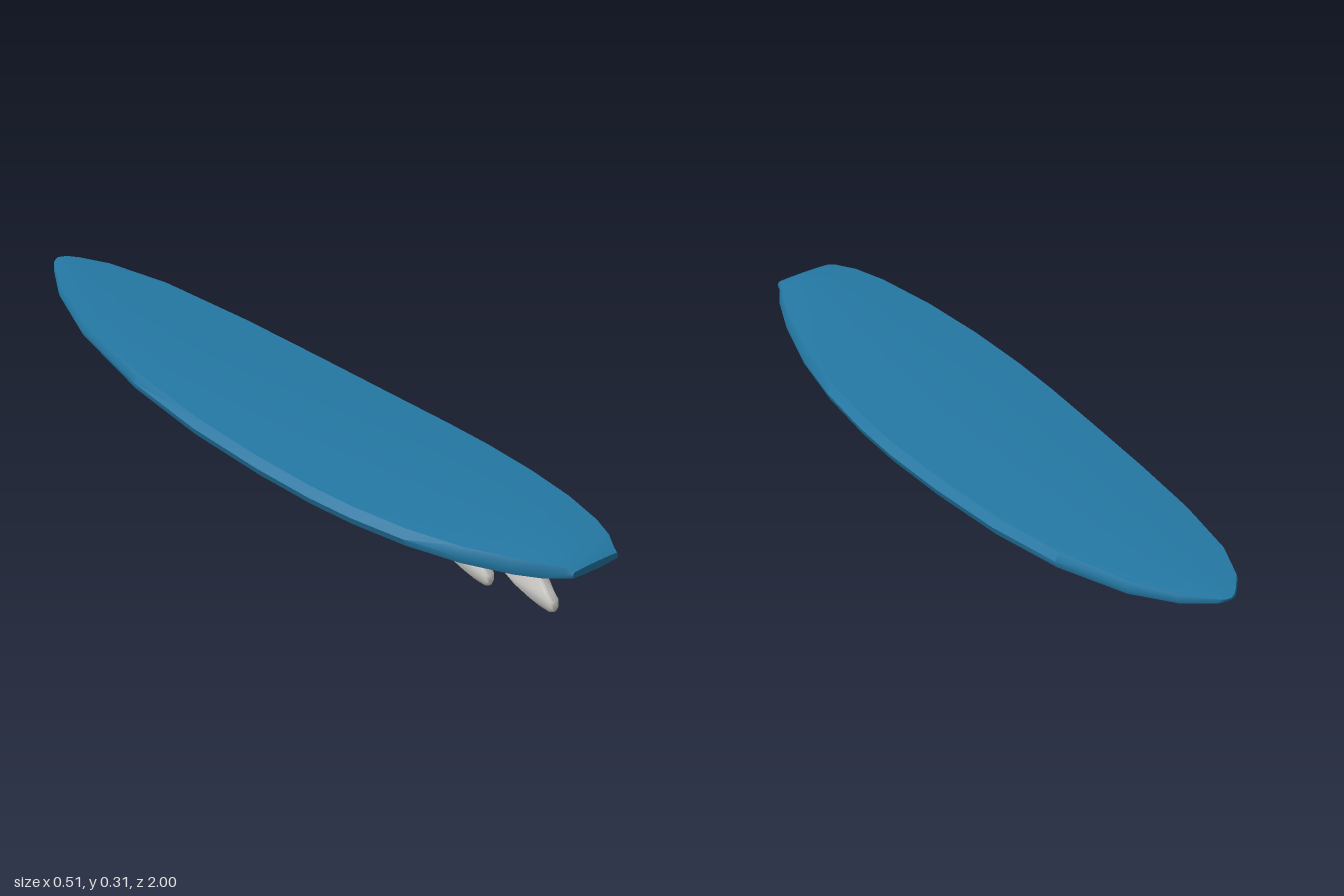
import * as THREE from 'three';
import { toCreasedNormals } from 'three/addons/utils/BufferGeometryUtils.js';

// Skin a list of closed rings (equal point counts) and cap both ends.
function loft(rings, crease) {
  const n = rings[0].length;
  const pos = rings.flat();
  const idx = [];
  for (let i = 0; i < rings.length - 1; i++) {
    for (let j = 0; j < n; j++) {
      const a = i * n + j, b = i * n + (j + 1) % n;
      idx.push(a, b, a + n, b, b + n, a + n);
    }
  }
  const cap = (start, flip) => {
    const c = pos.length;
    const mid = [0, 1, 2].map(k => {
      let sum = 0;
      for (let j = 0; j < n; j++) sum += pos[start + j][k];
      return sum / n;
    });
    pos.push(mid);
    for (let j = 0; j < n; j++) {
      const a = start + j, b = start + (j + 1) % n;
      if (flip) idx.push(c, b, a); else idx.push(c, a, b);
    }
  };
  cap(0, true);
  cap((rings.length - 1) * n, false);
  const g = new THREE.BufferGeometry();
  g.setAttribute('position', new THREE.Float32BufferAttribute(pos.flat(), 3));
  g.setIndex(idx);
  return toCreasedNormals(g, crease);
}

// Board stations from nose to tail: z, half width, bottom y, top y
const STATIONS = [
  [-1, 0.006, 0.304, 0.311], [-0.99, 0.024, 0.297, 0.312], [-0.965, 0.046, 0.288, 0.311],
  [-0.9, 0.093, 0.268, 0.304], [-0.75, 0.155, 0.235, 0.287], [-0.5, 0.208, 0.197, 0.26],
  [-0.25, 0.236, 0.175, 0.241], [0, 0.25, 0.164, 0.231], [0.2, 0.255, 0.161, 0.228],
  [0.35, 0.251, 0.162, 0.229], [0.53, 0.234, 0.166, 0.232], [0.7, 0.202, 0.173, 0.239],
  [0.85, 0.155, 0.183, 0.248], [0.93, 0.12, 0.192, 0.249], [0.98, 0.088, 0.204, 0.244],
  [1, 0.08, 0.213, 0.235],
];

// Right half of the cross-section: fraction of width, fraction of height
const SECTION = [[0, 0], [0.5, 0.05], [0.96, 0.17], [1, 0.5], [0.945, 0.9], [0.5, 0.98], [0, 1]];
const OUTLINE = [
  ...SECTION,
  ...SECTION.slice(1, -1).reverse().map(([u, t]) => [-u, t]),
];

// Fin levels from tip to root: y, leading z, trailing z, half thickness
const FIN = [
  [0.001, 0.578, 0.598, 0.005], [0.007, 0.55, 0.61, 0.009], [0.02, 0.51, 0.616, 0.013],
  [0.037, 0.463, 0.615, 0.016], [0.058, 0.426, 0.596, 0.017], [0.1, 0.386, 0.569, 0.017],
  [0.15, 0.347, 0.553, 0.017], [0.195, 0.31, 0.548, 0.017],
];

// Level slice of a fin: flat sides with rounded leading and trailing edges
function finRing([y, lead, trail, h]) {
  const ring = [];
  for (let e = 0; e < 2; e++) {
    for (let k = 0; k <= 6; k++) {
      const a = -Math.PI / 2 + (k / 6 + e) * Math.PI;
      const z = (e === 0 ? trail - h : lead + h) + Math.cos(a) * h;
      ring.push([Math.sin(a) * h, y, z]);
    }
  }
  return ring;
}

export function createModel() {
  const blue = new THREE.MeshStandardMaterial({ color: 0x2479a5 });
  blue.name = 'boardBlue';
  const white = new THREE.MeshStandardMaterial({ color: 0xdddbd6 });
  white.name = 'finWhite';

  const model = new THREE.Group();
  model.name = 'surfboard';

  // Board
  const rings = STATIONS.map(([z, w, lo, hi]) =>
    OUTLINE.map(([u, t]) => [u * w, lo + (hi - lo) * t, z]));
  const board = new THREE.Mesh(loft(rings, 0.8), blue);
  board.name = 'board';
  model.add(board);

  // Two fins in line under the tail
  const finGeometry = loft(FIN.map(finRing), 0.9);
  [['frontFin', 0, 0], ['rearFin', 0.02, 0.24]].forEach(([name, y, z]) => {
    const fin = new THREE.Mesh(finGeometry, white);
    fin.name = name;
    fin.position.set(0, y, z);
    model.add(fin);
  });

  return model;
}
